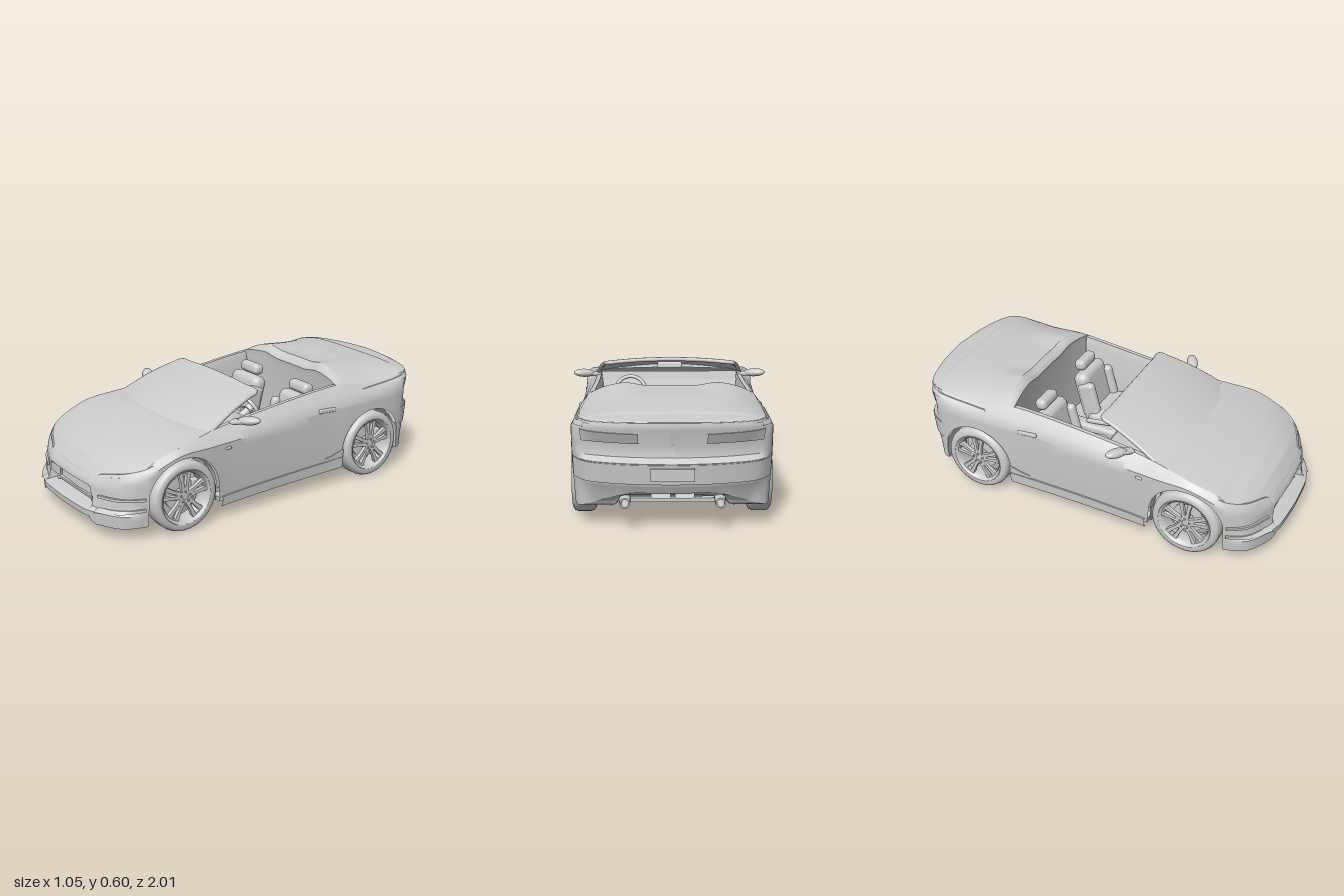
import * as THREE from 'three';
import { toCreasedNormals } from 'three/addons/utils/BufferGeometryUtils.js';
import { RoundedBoxGeometry } from 'three/addons/geometries/RoundedBoxGeometry.js';

const mat = new THREE.MeshStandardMaterial({ color: 0xcccccc, side: THREE.DoubleSide });
const V = (x, y, z) => new THREE.Vector3(x, y, z);
const { clamp, lerp, smoothstep } = THREE.MathUtils;
const flat = pts => pts.map(p => new THREE.Vector2(...p));

function add(parent, name, geo, x = 0, y = 0, z = 0, rx = 0, ry = 0, rz = 0) {
  const m = new THREE.Mesh(geo, mat);
  m.name = name;
  m.position.set(x, y, z);
  m.rotation.set(rx, ry, rz);
  parent.add(m);
  return m;
}
const box = (w, h, d) => new THREE.BoxGeometry(w, h, d);
const soft = (w, h, d, r) => new RoundedBoxGeometry(w, h, d, 4, r);

// Sheet of (nu+1) x (nv+1) points given by f(i, j)
function sheet(nu, nv, f, crease = 0.6) {
  const pos = [], idx = [];
  for (let i = 0; i <= nu; i++) for (let j = 0; j <= nv; j++) pos.push(...f(i, j).toArray());
  for (let i = 0; i < nu; i++) for (let j = 0; j < nv; j++) {
    const a = i * (nv + 1) + j, b = a + nv + 1;
    idx.push(a, b, a + 1, b, b + 1, a + 1);
  }
  const g = new THREE.BufferGeometry();
  g.setAttribute('position', new THREE.Float32BufferAttribute(pos, 3));
  g.setIndex(idx);
  return toCreasedNormals(g, crease);
}
// Piecewise linear lookup
function lin(pts, x) {
  if (x <= pts[0][0]) return pts[0][1];
  for (let i = 1; i < pts.length; i++) if (x <= pts[i][0])
    return lerp(pts[i - 1][1], pts[i][1], (x - pts[i - 1][0]) / (pts[i][0] - pts[i - 1][0]));
  return pts[pts.length - 1][1];
}

// Half outline from nose to tail: x, z, bottom, shoulder, belt, belt inset
const OUT = [
  [0, .965, .10, .26, .285, .012], [.17, .957, .10, .26, .287, .012], [.215, .948, .10, .262, .29, .012],
  [.25, .938, .065, .265, .295, .012], [.375, .885, .065, .28, .315, .015], [.446, .80, .065, .31, .355, .02],
  [.465, .72, .10, .36, .395, .03], [.475, .6, .18, .40, .43, .03], [.47, .45, .18, .40, .452, .05],
  [.46, .3, .07, .40, .468, .06], [.455, 0, .075, .41, .50, .06], [.46, -.3, .085, .43, .53, .06],
  [.47, -.45, .1, .44, .535, .06], [.475, -.62, .18, .45, .515, .045], [.472, -.77, .11, .47, .52, .04],
  [.445, -.86, .11, .49, .53, .025], [.375, -.935, .14, .5, .535, .015], [.2, -.98, .2, .505, .54, .01],
  [0, -.997, .2, .505, .545, .01]];
const END = OUT.length - 1, AXLES = [.59, -.61], R = .2, WY = .18;

function at(s, c) {
  const i = Math.min(Math.floor(s), END - 1), t = s - i;
  const k = n => OUT[clamp(n, 0, END)][c], a = k(i), b = k(i + 1);
  if (c === 2) return lerp(a, b, t);
  const m0 = (b - k(i - 1)) / 2, m1 = (k(i + 2) - a) / 2;
  return (2 * t ** 3 - 3 * t * t + 1) * a + (t ** 3 - 2 * t * t + t) * m0 + (3 * t * t - 2 * t ** 3) * b + (t ** 3 - t * t) * m1;
}
const FRONT = [[.06, -.052], [.13, -.05], [.15, -.015], [.25, -.008], [.28, 0]];
const TAIL = [[.1, .06], [.19, .035], [.25, .008], [.35, 0], [.37, .035], [.42, .045], [.505, .008], [.545, 0]];

// Point of the body skin at outline position s and height y
function skin(s, y, out = 0, sign = 1) {
  const x = at(s, 0), z = at(s, 1), sh = at(s, 3), belt = at(s, 4);
  const a = Math.max(0, s - .01), b = Math.min(END, s + .01);
  const n = V(-(at(b, 1) - at(a, 1)), 0, at(b, 0) - at(a, 0)).normalize();
  let d = y > sh ? at(s, 5) * ((y - sh) / (belt - sh)) ** 1.3 : .02 * ((sh - y) / sh) ** 2;
  d += lin(FRONT, y) * smoothstep(z, .78, .96) + lin(TAIL, y) * smoothstep(-z, .85, .95);
  if (z > .9 && x < .185 + (.245 - y) * .3 && y > .135 && y < .24) d += .055;   // grille recess
  const px = s === 0 || s === END ? 0 : x + n.x * (out - d);
  return V(sign * px, y, z + n.z * (out - d));
}
function bottom(s) {
  const z = at(s, 1);
  let y = at(s, 2);
  for (const c of AXLES) if (Math.abs(z - c) < R) y = Math.max(y, WY + Math.sqrt(R * R - (z - c) ** 2));
  return y;
}
const beltPt = (s, sign = 1) => skin(s, at(s, 4), 0, sign);

// Raised strip following the skin; y ranges are [start, end]
function band(parent, name, s0, s1, lo, hi, out) {
  for (const sign of [1, -1]) add(parent, name, sheet(40, 3, (i, j) => {
    const t = i / 40;
    return skin(lerp(s0, s1, t), lerp(...(j < 2 ? lo : hi), t), j % 3 ? out : -.004, sign);
  }, .5));
}

function makeWheel() {
  const w = new THREE.Group();
  const turn = pts => toCreasedNormals(new THREE.LatheGeometry(flat(pts), 48).rotateZ(-Math.PI / 2), .7);
  add(w, 'tyre', turn([[.135, -.055], [.16, -.055], [.174, -.046], [.18, -.03], [.18, .03], [.174, .046], [.16, .055], [.14, .053]]));
  add(w, 'rim', turn([[.125, -.05], [.137, -.05], [.122, -.03], [.12, .03], [.128, .046], [.14, .055], [.144, .05]]));
  add(w, 'brakeDisc', new THREE.CylinderGeometry(.085, .085, .012, 32).rotateZ(Math.PI / 2), -.015);
  add(w, 'hub', new THREE.CylinderGeometry(.026, .034, .04, 20).rotateZ(-Math.PI / 2), .022);
  // Spokes widen towards the rim and have a slot
  const arm = new THREE.Shape(flat([[-.017, .015], [.017, .015], [.022, .07], [.037, .128], [-.037, .128], [-.022, .07]]));
  arm.holes.push(new THREE.Path(flat([[-.004, .05], [-.013, .118], [.013, .118], [.004, .05]])));
  const armGeo = new THREE.ExtrudeGeometry(arm, { depth: .014, bevelEnabled: true, bevelSize: .002, bevelThickness: .003, bevelSegments: 1 }).rotateY(Math.PI / 2);
  for (let i = 0; i < 5; i++) {
    const a = i * Math.PI * 2 / 5;
    add(w, 'spoke', armGeo, .026, 0, 0, a);
    add(w, 'wheelNut', new THREE.CylinderGeometry(.005, .005, .01, 8).rotateZ(Math.PI / 2), .046, Math.cos(a) * .027, Math.sin(a) * .027);
  }
  add(w, 'caliper', soft(.035, .08, .035, .008), -.01, .02, -.085);
  return w;
}

export function createModel() {
  const car = new THREE.Group();
  car.name = 'roadster';

  // Body sides, nose and tail in one skin with wheel arches
  const ROWS = [.06, .1, .13, .134, .145, .19, .235, .241, .28, .32, .35, .37, .42], N = END * 16;
  add(car, 'bodySkin', sheet(2 * N, ROWS.length + 3, (i, j) => {
    const s = Math.abs(i - N) / 16, b = bottom(s), sh = Math.max(at(s, 3), b), belt = at(s, 4);
    const y = j === 0 ? b : j <= ROWS.length ? clamp(ROWS[j - 1], b, sh) : lerp(sh, belt, (j - ROWS.length - 1) / 2);
    return skin(s, y, 0, i < N ? -1 : 1);
  }));

  // Hood and rear deck span the belt line
  const HOOD = [[.42, .472], [.51, .472], [.62, .452], [.73, .425], [.83, .39], [.9, .35], [.955, .285]];
  const HB = 8.25, DK = 11.58;
  add(car, 'hood', sheet(60, 32, (i, j) => {
    const e = beltPt(HB * (i / 60)), u = j / 16 - 1;
    return V(e.x * u, e.y + (lin(HOOD, e.z) - e.y) * (1 - Math.abs(u) ** 2.3), e.z);
  }));
  const DECK = [[-.99, .545], [-.88, .556], [-.865, .564], [-.65, .585], [-.44, .608], [-.41, .585], [-.385, .55]];
  const deck = (s, u) => {
    const e = beltPt(s), f = smoothstep(e.z, -.7, -.45);
    const c = lin(DECK, e.z) - .022 * f * (1 - smoothstep(Math.abs(u), .25, .6));
    return V(e.x * u, e.y + (c - e.y) * (1 - Math.abs(u) ** 4), e.z - .03 * f * (1 - u * u));
  };
  add(car, 'rearDeck', sheet(100, 40, (i, j) => deck(lerp(DK, END, i / 100), j / 20 - 1)));
  add(car, 'bulkhead', sheet(40, 2, (i, j) => {
    const p = deck(DK, i / 20 - 1);
    return j === 0 ? p : V(p.x * .97, j === 1 ? p.y - .03 : .13, p.z - (j === 1 ? .005 : -.01));
  }));

  // Cockpit tub
  for (const sign of [1, -1]) add(car, 'doorInner', sheet(40, 3, (i, j) => {
    const p = beltPt(lerp(HB, DK, i / 40), sign);
    p.x -= sign * [0, .022, .035, .04][j];
    p.y = [p.y, p.y, p.y - .04, .12][j];
    return p;
  }));
  add(car, 'cabinFloor', box(.78, .02, .84), 0, .13, .01);
  add(car, 'centreConsole', soft(.075, .12, .5, .02), 0, .2, -.13);
  add(car, 'handbrake', soft(.022, .025, .16, .01), 0, .275, -.12, -.15);
  add(car, 'gearStick', new THREE.CylinderGeometry(.007, .01, .09, 12), 0, .29, .05);
  add(car, 'gearKnob', new THREE.SphereGeometry(.018, 16, 12), 0, .34, .05);
  const dash = new THREE.Shape(flat([[-.42, .45], [-.2, .455], [-.11, .44], [-.08, .405], [-.13, .33], [-.25, .28], [-.3, .13], [-.42, .13]]));
  add(car, 'dashboard', new THREE.ExtrudeGeometry(dash, { depth: .76, bevelEnabled: false }).rotateY(Math.PI / 2).translate(-.38, 0, 0));

  for (const x of [.215, -.215]) {
    const seat = new THREE.Group();
    seat.name = 'seat';
    seat.position.x = x;
    add(seat, 'cushion', soft(.29, .11, .25, .05), 0, .22, -.125, -.1);
    add(seat, 'backrest', soft(.24, .28, .09, .04), 0, .33, -.27, -.25);
    add(seat, 'headrest', soft(.15, .06, .065, .025), 0, .495, -.32, -.2);
    for (const k of [-1, 1]) {
      add(seat, 'bolster', soft(.05, .23, .1, .024), k * .105, .31, -.235, -.25);
      add(seat, 'headrestPost', new THREE.CylinderGeometry(.006, .006, .06, 8), k * .04, .46, -.315);
    }
    car.add(seat);
  }

  const steer = new THREE.Group();
  steer.name = 'steeringWheel';
  steer.position.set(.21, .435, .02);
  steer.rotation.x = .45;
  add(steer, 'wheelRing', new THREE.TorusGeometry(.08, .01, 12, 40));
  add(steer, 'wheelHub', new THREE.CylinderGeometry(.028, .03, .025, 20).rotateX(Math.PI / 2));
  for (const a of [0, Math.PI, -Math.PI / 2])
    add(steer, 'wheelSpoke', box(.06, .018, .01), Math.cos(a) * .048, Math.sin(a) * .048, 0, 0, 0, a);
  add(steer, 'column', new THREE.CylinderGeometry(.018, .022, .1, 16).rotateX(Math.PI / 2), 0, 0, .05);
  car.add(steer);

  // Windshield and its frame
  const glass = (u, v) => V(lerp(.405, .338, v) * u, lerp(.474 - .024 * u * u, .604 - .018 * u * u, v) + .014 * Math.sin(Math.PI * v), lerp(.5 - .08 * u * u, .085 - .01 * u * u, v));
  add(car, 'windshield', sheet(24, 12, (i, j) => glass(i / 12 - 1, j / 12)));
  const rail = [];
  for (let i = 0; i <= 8; i++) rail.push(glass(-1, i / 8));
  for (let i = 1; i < 8; i++) rail.push(glass(i / 4 - 1, 1));
  for (let i = 8; i >= 0; i--) rail.push(glass(1, i / 8));
  rail.forEach(p => { p.y -= .01; });
  add(car, 'windshieldFrame', new THREE.TubeGeometry(new THREE.CatmullRomCurve3(rail), 90, .011, 8));
  add(car, 'rearViewMirror', soft(.13, .035, .02, .009), 0, .565, .075, .2);

  // Mirrors, handles and side lamps
  for (const k of [1, -1]) {
    const shell = add(car, 'sideMirror', new THREE.SphereGeometry(1, 24, 16), k * .468, .489, .215, 0, k * .5, k * .12);
    shell.scale.set(.062, .022, .03);
    add(car, 'mirrorArm', soft(.08, .022, .045, .01), k * .415, .476, .245, 0, k * .5, k * .2);
    add(car, 'doorHandle', soft(.016, .022, .11, .007), k * .458, .432, -.3, -.07);
    add(car, 'sideLamp', soft(.012, .014, .035, .005), k * .463, .372, .335);
  }

  // Trim following the skin
  band(car, 'sideSkirt', 8.62, 11.7, [.07, .09], [.12, .15], .008);
  band(car, 'skirtStep', 11, 11.75, [.1, .1], [.16, .195], .005);
  band(car, 'headlamp', 2.6, 5.6, [.292, .35], [.294, .372], .003);
  band(car, 'bumperFin', 3, 5, [.195, .205], [.208, .218], .01);
  band(car, 'frontSplitter', 3, 5, [.13, .15], [.145, .165], .01);
  band(car, 'shoulderCrease', 12.6, 15.6, [.49, .505], [.497, .528], .006);
  band(car, 'tailLamp', 15.4, 17.2, [.435, .435], [.49, .485], .006);
  band(car, 'rearBumper', 14.6, END, [.25, .25], [.345, .345], .004);
  band(car, 'tailLip', 15, END, [.52, .53], [.53, .543], .005);

  // Grille bars, plate and exhausts
  add(car, 'grilleBar', box(.36, .012, .02), 0, .155, .925);
  for (const k of [1, -1]) {
    add(car, 'grillePost', new THREE.CylinderGeometry(.005, .005, .085, 10), k * .175, .19, .92);
    add(car, 'grilleLamp', new THREE.SphereGeometry(.012, 16, 12), k * .175, .148, .93);
    add(car, 'exhaust', toCreasedNormals(new THREE.LatheGeometry(flat([[.018, 0], [.018, .12], [.025, .12], [.027, .06], [.022, -.06]]), 24), .6).rotateX(-Math.PI / 2), k * .22, .148, -.825);
    add(car, 'diffuserBlock', box(.09, .05, .08), k * .055, .185, -.9, .3);
  }
  add(car, 'licencePlate', box(.2, .06, .012), 0, .3, -.993);

  // Closed undersides of the bumpers, higher in the middle
  const tray = (name, s0, s1, mid) => add(car, name, sheet(30, 40, (i, j) => {
    const s = lerp(s0, s1, i / 30), b = bottom(s), e = skin(s, b), x = e.x * (j / 20 - 1);
    return V(x, Math.max(b, lerp(mid(e.z), b, smoothstep(Math.abs(x), .23, .27))), e.z);
  }));
  tray('frontUndertray', 0, 5.05, () => .1);
  tray('rearUndertray', 14.2, END, z => lin([[-.96, .2], [-.78, .12]], z));

  // Underbody notched around the wheels
  const half = [[.24, .95], [.37, .88], [.42, .8], [.29, .79], [.29, .38], [.45, .38], [.45, -.4], [.29, -.4], [.29, -.78]];
  const under = new THREE.Shape(flat([...half, ...half.map(([x, z]) => [-x, z]).reverse()]));
  add(car, 'underbody', new THREE.ExtrudeGeometry(under, { depth: .02, bevelEnabled: false }).rotateX(Math.PI / 2), 0, .115, 0);

  // Wheels and wheel wells
  for (const z of AXLES) for (const k of [1, -1]) {
    const wheel = makeWheel();
    wheel.name = z > 0 ? 'frontWheel' : 'rearWheel';
    wheel.position.set(k * .42, WY, z);
    if (k < 0) wheel.rotation.y = Math.PI;
    car.add(wheel);
    add(car, 'wheelWell', new THREE.CylinderGeometry(R, R, .15, 32, 1, true, 0, Math.PI).rotateZ(Math.PI / 2), k * .365, WY, z);
    add(car, 'wellWall', new THREE.CircleGeometry(R, 32, 0, Math.PI).rotateY(Math.PI / 2), k * .29, WY, z);
    add(car, 'wellSide', box(.008, .09, .4), k * .29, .135, z);
    for (const e of [1, -1]) add(car, 'wellEnd', box(.14, .085, .006), k * .36, .14, z + e * R);
    add(car, 'axle', new THREE.CylinderGeometry(.02, .02, .13, 12).rotateZ(Math.PI / 2), k * .35, WY, z);
  }
  return car;
}
